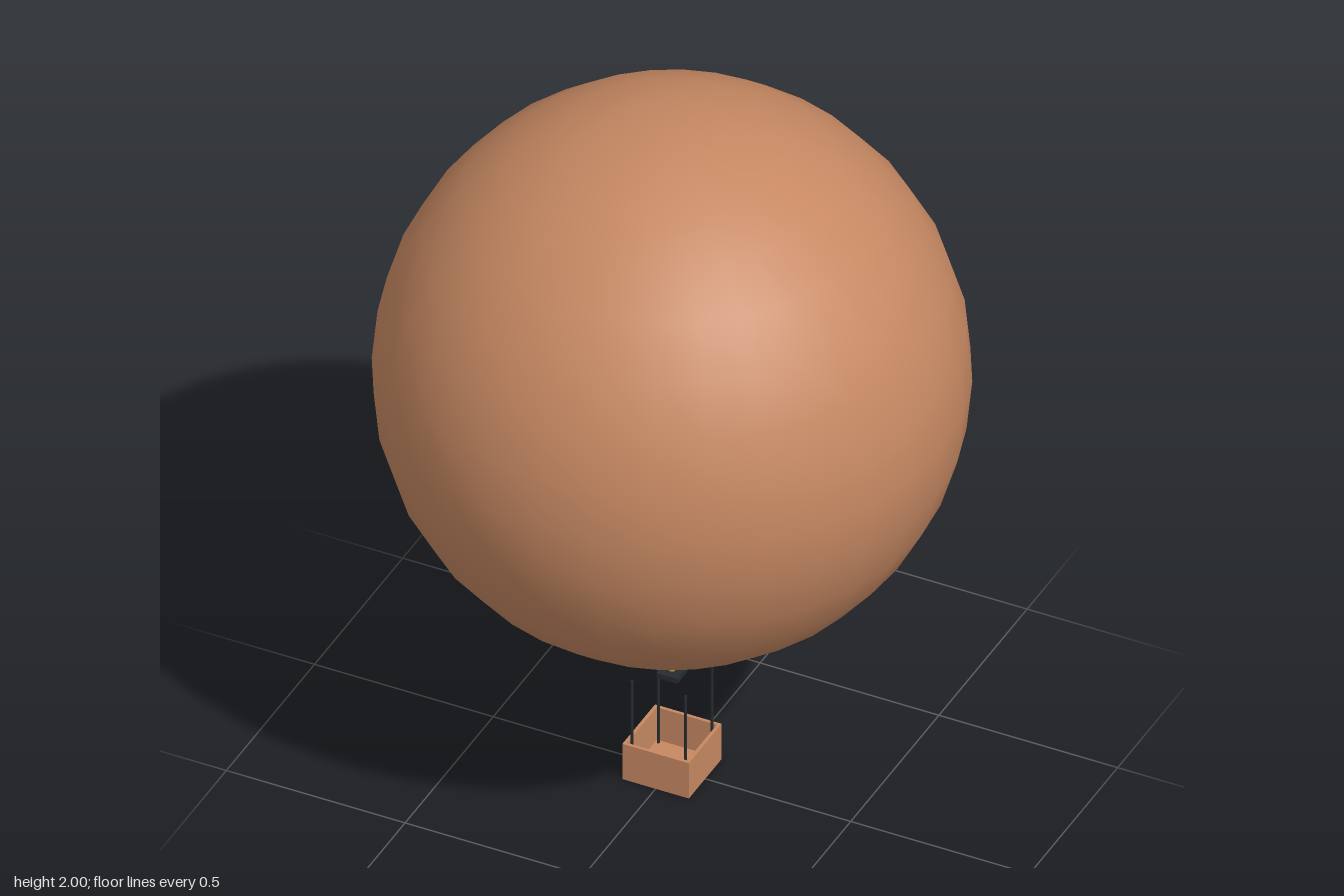
import * as THREE from 'three';

const mat = (color) => new THREE.MeshStandardMaterial({ color });

export function createModel() {
  const model = new THREE.Group();
  model.name = 'hotAirBalloon';
  const fabric = mat(0xc68862);
  const dark = mat(0x262b2e);
  const orange = mat(0xd0924a);

  const add = (name, geometry, material, x, y, z, parent = model) => {
    const mesh = new THREE.Mesh(geometry, material);
    mesh.name = name;
    mesh.position.set(x, y, z);
    parent.add(mesh);
    return mesh;
  };

  // Envelope
  const radius = 0.755;
  add('envelope', new THREE.SphereGeometry(radius, 32, 16), fabric, 0, 2 - radius, 0);

  // Open basket: floor and four walls
  const width = 0.186, height = 0.11, wall = 0.009;
  const basket = new THREE.Group();
  basket.name = 'basket';
  model.add(basket);
  add('basketFloor', new THREE.BoxGeometry(width, wall, width), fabric, 0, wall / 2, 0, basket);
  const offset = (width - wall) / 2;
  const wallHeight = height - wall;
  const wallY = wall + wallHeight / 2;
  for (const s of [-1, 1]) {
    add('basketSideWall', new THREE.BoxGeometry(wall, wallHeight, width), fabric, s * offset, wallY, 0, basket);
    add('basketEndWall', new THREE.BoxGeometry(width - 2 * wall, wallHeight, wall), fabric, 0, wallY, s * offset, basket);
  }

  // Corner uprights standing on the basket floor
  const top = 0.302;
  const poleGeometry = new THREE.CylinderGeometry(0.004, 0.004, top - wall, 8);
  for (const x of [-0.075, 0.075]) {
    for (const z of [-0.075, 0.075]) add('upright', poleGeometry, dark, x, (top + wall) / 2, z);
  }

  // Burner plate and flame
  add('burner', new THREE.BoxGeometry(0.058, 0.015, 0.058), dark, 0, 0.302, 0);
  add('flame', new THREE.CylinderGeometry(0.0085, 0.0085, 0.08, 8), orange, 0, 0.349, 0);

  return model;
}
